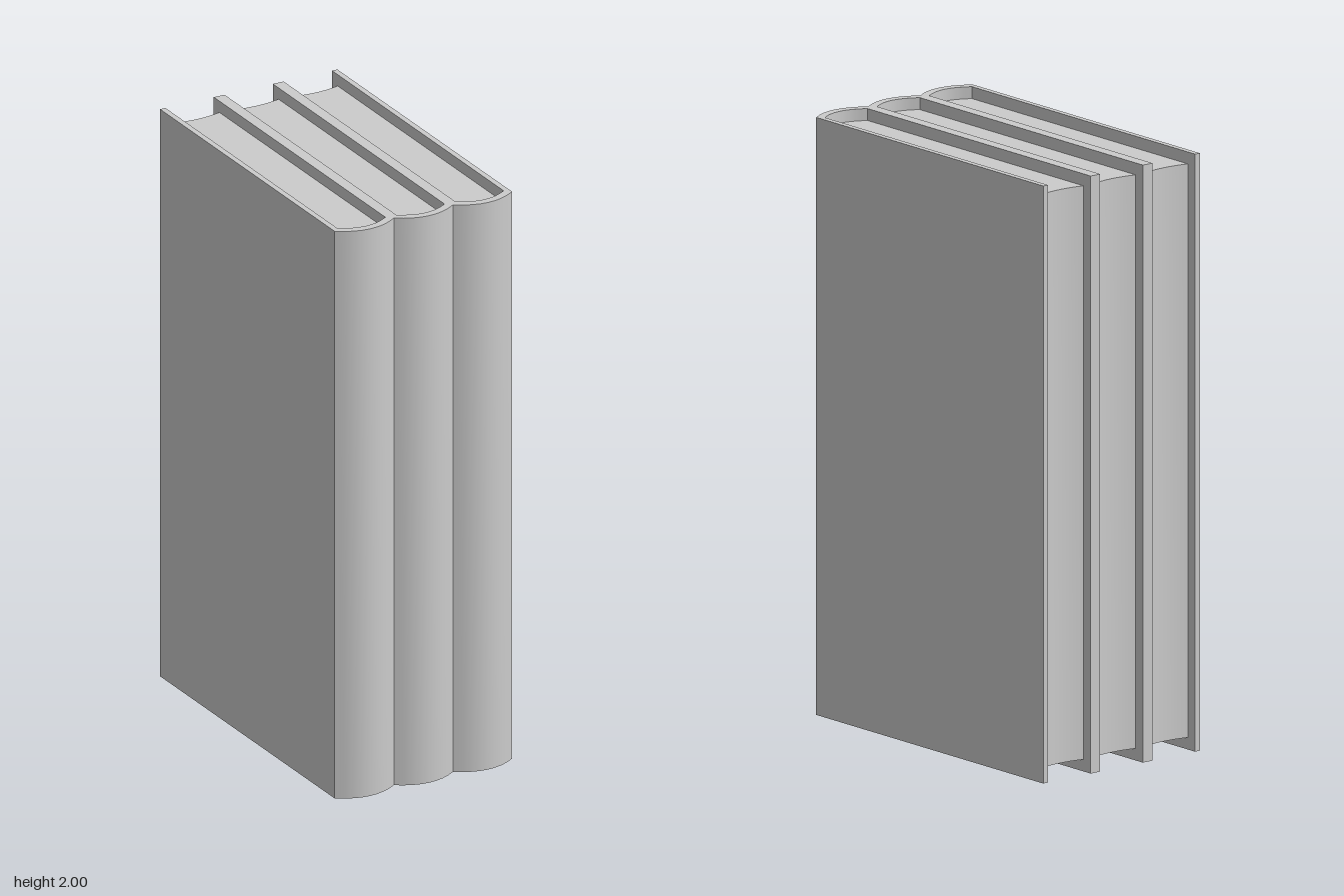
import * as THREE from 'three';
import { toCreasedNormals } from 'three/addons/utils/BufferGeometryUtils.js';

const HEIGHT = 2, HALF = 0.11, THICK = 0.02, BACK = -0.594;

// Shallow curve across a book, from x = -half to +half, bulging toward +z in the middle
function arc(half, edgeZ, midZ, steps = 8) {
  const pts = [];
  for (let i = 0; i <= steps; i++) {
    const t = (i / steps) * 2 - 1;
    pts.push([t * half, midZ + (edgeZ - midZ) * t * t]);
  }
  return pts;
}

// Extrudes an x/z outline upward from y0 to y1
function upright(outline, y0, y1) {
  const shape = new THREE.Shape(outline.map(([x, z]) => new THREE.Vector2(x, -z)));
  const geo = new THREE.ExtrudeGeometry(shape, { depth: y1 - y0, bevelEnabled: false });
  geo.rotateX(-Math.PI / 2).translate(0, y0, 0);
  return toCreasedNormals(geo, 0.5);
}

export function createModel() {
  const group = new THREE.Group();
  group.name = 'books';
  const grey = new THREE.MeshStandardMaterial({ name: 'light grey', color: 0xcccccc });
  const inner = HALF - THICK;

  // Cover: two boards joined by a rounded spine, open at the back
  const coverGeo = upright([
    [-HALF, BACK], ...arc(HALF, 0.555, 0.594), [HALF, BACK],
    [inner, BACK], ...arc(inner, 0.535, 0.566).reverse(), [-inner, BACK],
  ], 0, HEIGHT);

  // Page block: round against the spine, hollow at the open edge, short of the boards
  const pagesGeo = upright([
    ...arc(inner, -0.557, -0.545), ...arc(inner, 0.535, 0.566).reverse(),
  ], 0.04, HEIGHT - 0.04);

  ['rightBook', 'middleBook', 'leftBook'].forEach((name, i) => {
    const book = new THREE.Group();
    book.name = name;
    book.position.x = (i - 1) * HALF * 2;
    const cover = new THREE.Mesh(coverGeo, grey);
    cover.name = 'cover';
    const pages = new THREE.Mesh(pagesGeo, grey);
    pages.name = 'pages';
    book.add(cover, pages);
    group.add(book);
  });
  return group;
}
